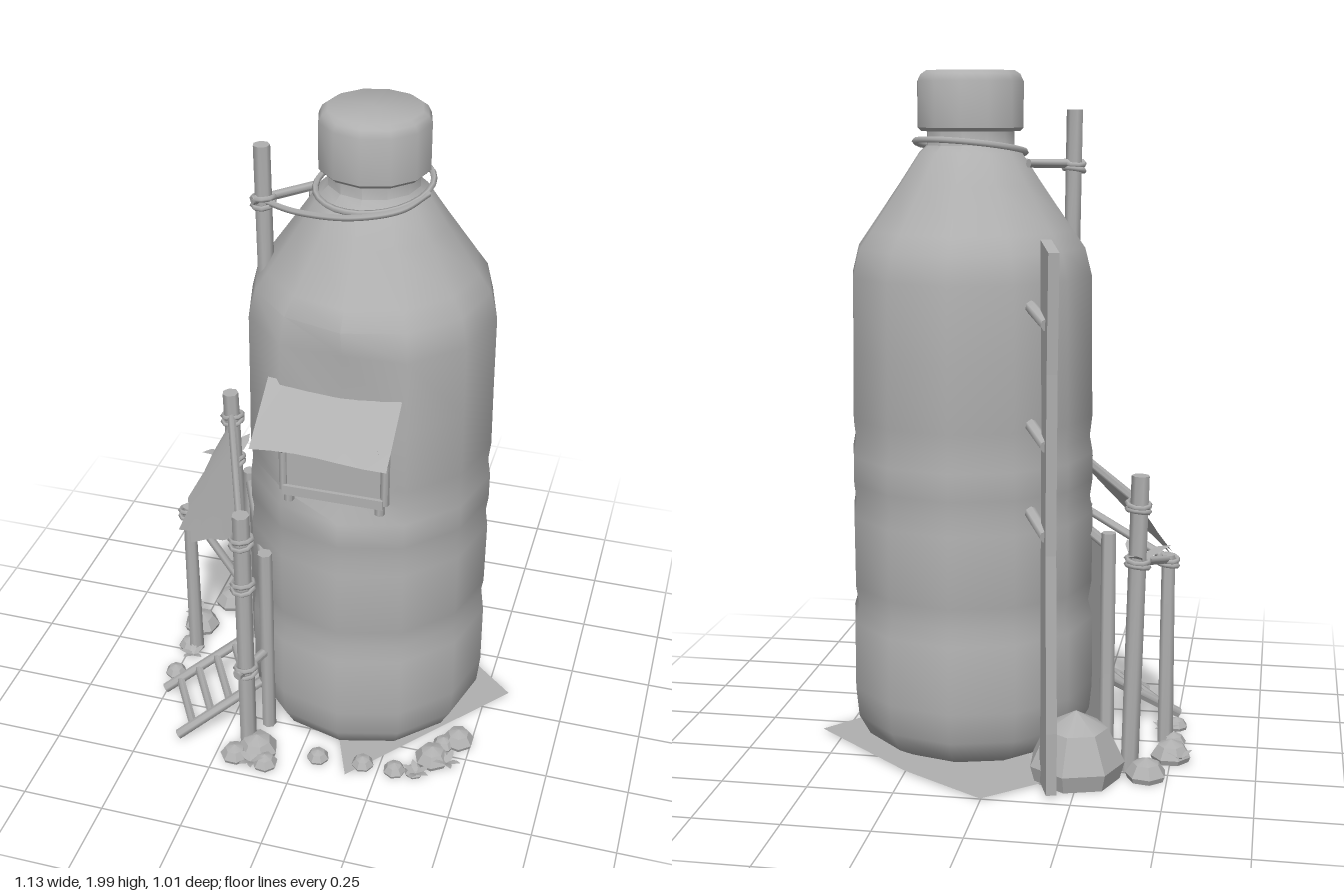
import * as THREE from 'three';
import { toCreasedNormals } from 'three/addons/utils/BufferGeometryUtils.js';

const V = (x, y, z) => new THREE.Vector3(x, y, z);

export function createModel() {
  const model = new THREE.Group();
  const clay = new THREE.MeshStandardMaterial({ color: 0xb0b0b0 });
  clay.name = 'plain grey';
  const thin = clay;
  thin.side = THREE.DoubleSide;

  const add = (name, geometry, x = 0, y = 0, z = 0) => {
    const mesh = new THREE.Mesh(geometry, clay);
    mesh.name = name;
    mesh.position.set(x, y, z);
    model.add(mesh);
    return mesh;
  };

  // Straight round stick between two points
  const stick = (name, a, b, r = 0.02, r2 = r) => {
    const dir = b.clone().sub(a);
    const g = toCreasedNormals(new THREE.CylinderGeometry(r2, r, dir.length(), 7), 1);
    const mesh = add(name, g);
    mesh.position.copy(a).add(b).multiplyScalar(0.5);
    mesh.quaternion.setFromUnitVectors(V(0, 1, 0), dir.normalize());
    return mesh;
  };

  // Thin sheet from a grid of points given by a rule
  const sheet = (name, nu, nv, rule) => {
    const pos = [], idx = [];
    for (let j = 0; j <= nv; j++) for (let i = 0; i <= nu; i++) pos.push(...rule(i / nu, j / nv).toArray());
    for (let j = 0; j < nv; j++) for (let i = 0; i < nu; i++) {
      const a = j * (nu + 1) + i, b = a + nu + 1;
      idx.push(a, a + 1, b, b, a + 1, b + 1);
    }
    const g = new THREE.BufferGeometry();
    g.setAttribute('position', new THREE.Float32BufferAttribute(pos, 3));
    g.setIndex(idx);
    g.computeVertexNormals();
    return add(name, g);
  };

  // Rope coils around a pole
  const binding = (x, y, z, r = 0.03) => {
    for (let i = 0; i < 2; i++) {
      const ring = add('ropeBinding', new THREE.TorusGeometry(r, 0.008, 5, 9), x, y + i * 0.018, z);
      ring.rotation.set(Math.PI / 2 + 0.15 - i * 0.3, 0.12, 0);
    }
  };

  // Bottle body, with its front dented behind the window
  const cx = 0.115, cz = -0.01;
  const lathe = (pts, crease) => {
    const g = new THREE.LatheGeometry(pts.map(p => new THREE.Vector2(...p)), 12, Math.PI);
    const p = g.attributes.position;
    for (let i = 0; i < p.count; i++) {
      const y = p.getY(i);
      if (y > 0.94 && y < 1.5 && p.getZ(i) > 0.315) p.setZ(i, 0.315);
    }
    return toCreasedNormals(g, crease);
  };
  add('bottle', lathe([
    [0, 0.02], [0.27, 0.02], [0.325, 0.05], [0.358, 0.11], [0.367, 0.2], [0.366, 0.4], [0.352, 0.45],
    [0.362, 0.51], [0.363, 0.72], [0.355, 0.77], [0.362, 0.82], [0.362, 0.9], [0.353, 0.95], [0.36, 1.01],
    [0.357, 1.2], [0.355, 1.42], [0.335, 1.5], [0.3, 1.55], [0.21, 1.68], [0.15, 1.77], [0.128, 1.79], [0.128, 1.84],
  ], 0.9), cx, 0, cz);
  add('cap', lathe([
    [0, 1.83], [0.145, 1.83], [0.155, 1.84], [0.155, 1.97], [0.145, 1.99], [0.13, 2], [0, 2],
  ], 0.75), cx, 0, cz);

  // Sheet lying under the bottle
  const ground = new THREE.Shape([[0, 0.51], [0.25, 0.355], [0.57, 0.08], [0.16, -0.42], [-0.16, 0.37]]
    .map(p => new THREE.Vector2(...p)));
  add('groundSheet', new THREE.ShapeGeometry(ground), 0, 0.016, 0).rotation.x = -Math.PI / 2;

  // Window with frame, struts and awning
  add('windowPanel', new THREE.BoxGeometry(0.27, 0.2, 0.008), 0.095, 1.08, 0.318);
  add('windowSill', new THREE.BoxGeometry(0.29, 0.03, 0.035), 0.095, 0.975, 0.315);
  for (const x of [-0.052, 0.242]) {
    stick('windowPost', V(x, 0.97, 0.315), V(x, 1.19, 0.315), 0.013);
    stick('windowFoot', V(x * 0.9 + 0.01, 0.935, 0.315), V(x * 0.9 + 0.01, 0.985, 0.315), 0.015);
    stick('awningStrut', V(x, 1.07, 0.285), V(x, 1.215, 0.435), 0.011);
  }
  sheet('awning', 6, 1, (u, v) => V(-0.1 + 0.38 * u + 0.004 * v, 1.31 - 0.115 * v - 0.012 * Math.sin(u * Math.PI) * (1 - v)
    + 0.008 * Math.sin(u * 5) * v, 0.285 + 0.19 * v));

  // Rope around the neck, tied to the upper pole
  const neckPath = [];
  for (let i = 0; i < 12; i++) {
    const a = i * Math.PI / 6;
    neckPath.push(V(cx + 0.16 * Math.cos(a), 1.785 + 0.012 * Math.cos(a) - 0.02 * Math.sin(a), cz + 0.16 * Math.sin(a)));
  }
  const rope = (pts, r, closed = false) =>
    add('rope', new THREE.TubeGeometry(new THREE.CatmullRomCurve3(pts, closed), 28, r, 5, closed));
  rope(neckPath, 0.009, true);
  rope([V(-0.175, 1.73, 0.07), V(-0.06, 1.735, 0.125), V(0.1, 1.755, 0.16), V(0.22, 1.775, 0.125), V(0.275, 1.79, 0.03)], 0.009);
  stick('upperPole', V(-0.172, 1.42, 0.065), V(-0.178, 1.89, 0.065), 0.024);
  stick('upperPeg', V(-0.2, 1.735, 0.09), V(-0.06, 1.74, -0.045), 0.013);
  stick('upperBrace', V(-0.165, 1.52, 0.06), V(-0.04, 1.69, 0.03), 0.01);
  binding(-0.176, 1.72, 0.065);

  // Tall plank at the back with climbing pegs
  const plankShape = new THREE.Shape([[-0.06, 0.02], [0.05, 0.02], [0.035, 0.2], [0.037, 0.7], [0.035, 1.1], [0.062, 1.55],
    [-0.06, 1.525], [-0.042, 1.2], [-0.035, 0.7], [-0.06, 0.2]].map(p => new THREE.Vector2(...p)));
  const plank = add('plank', new THREE.ExtrudeGeometry(plankShape, { depth: 0.03, bevelEnabled: false }), -0.16, 0, -0.415);
  plank.rotation.y = -1.25;
  for (const y of [0.75, 1, 1.33])
    stick('climbingPeg', V(-0.17, y, -0.43), V(-0.1, y + 0.03, -0.27), 0.018);

  // Porch posts
  const postA = [-0.165, 0.37], postB = [-0.41, -0.25], postC = [-0.475, -0.01];
  const doorL = [-0.13, 0.27], doorR = [-0.31, -0.13];
  const at = (p, y) => V(p[0], y, p[1]);
  stick('frontPost', at(postA, 0.02), at(postA, 0.89), 0.026);
  stick('rearPost', V(-0.39, 0.02, -0.25), at(postB, 0.89), 0.026);
  stick('outerPost', at(postC, 0.02), at(postC, 0.6), 0.024, 0.02);
  for (const d of [doorL, doorR]) stick('doorPost', at(d, 0.02), at(d, 0.69), 0.022);
  stick('porchBeam', at(postA, 0.81), at(postB, 0.81), 0.013);
  stick('sideRail', at(postA, 0.645), at(postC, 0.585), 0.013);
  stick('sideRail', V(-0.4, 0.64, -0.25), at(postC, 0.585), 0.013);
  stick('doorLintel', at(doorL, 0.65), at(doorR, 0.65), 0.016);
  stick('lowerTie', V(-0.18, 0.32, 0.41), V(-0.11, 0.32, 0.21), 0.015);
  for (const y of [0.31, 0.63, 0.79]) binding(postA[0], y, postA[1], 0.032);
  for (const y of [0.63, 0.79]) binding(-0.405, y, postB[1], 0.032);
  binding(postC[0], 0.57, postC[1], 0.028);

  // Door panel between its posts
  const door = add('doorPanel', new THREE.BoxGeometry(0.44, 0.6, 0.012), -0.22, 0.36, 0.07);
  door.rotation.y = -1.148;

  // Ragged cloth hung from the beam, drawn out towards the outer post
  sheet('clothAwning', 10, 3, (u, v) => {
    const bulge = Math.sin(u * Math.PI) * (0.85 + (Math.round(u * 10) % 2) * 0.15) * v;
    return V(-0.17 - 0.23 * u - 0.19 * bulge, 0.81 - 0.22 * bulge - 0.015 * v, 0.34 - 0.55 * u + 0.02 * bulge);
  });

  // Ladder up to the door
  const railA = [V(-0.5, 0.025, 0.215), V(-0.26, 0.19, 0.08)];
  const railB = [V(-0.385, 0.025, 0.405), V(-0.15, 0.19, 0.27)];
  stick('ladderRail', ...railA, 0.016);
  stick('ladderRail', ...railB, 0.016);
  for (const t of [0.18, 0.4, 0.62, 0.84])
    stick('ladderRung', railA[0].clone().lerp(railA[1], t), railB[0].clone().lerp(railB[1], t), 0.013);

  // Rocks: faceted domes
  const rock = (x, z, r, h, turn) => {
    const profile = [[r * 0.9, 0], [r, h * 0.25], [r * 0.65, h * 0.75], [0, h]].map(p => new THREE.Vector2(...p));
    const g = toCreasedNormals(new THREE.LatheGeometry(profile, 7), 0.5);
    add('rock', g, x, 0.01, z).rotation.y = turn;
  };
  rock(-0.24, -0.3, 0.14, 0.2, 0.3);
  [[-0.5, -0.13, 0.06], [-0.5, 0.12, 0.035], [-0.44, -0.28, 0.06], [-0.5, -0.02, 0.04], [-0.13, 0.39, 0.065],
    [-0.19, 0.43, 0.045], [-0.09, 0.44, 0.04], [0.46, 0.18, 0.05], [0.4, 0.28, 0.055], [0.36, 0.35, 0.03],
    [0.3, 0.36, 0.035], [0.42, 0.21, 0.035], [0.2, 0.36, 0.035], [0.06, 0.37, 0.035]]
    .forEach(([x, z, r], i) => rock(x, z, r, r * 1.05, i * 1.7));

  // Grass tufts and leaves: folded pointed blades
  const tuft = (x, y, z, size, count) => {
    for (let i = 0; i < count; i++) {
      const a = i * 2.4 + x * 9, c = Math.cos(a), s = Math.sin(a);
      sheet('leaf', 2, 3, (u, v) => {
        const w = (u - 0.5) * size * 0.45 * Math.sin(Math.PI * (0.12 + 0.88 * v));
        return V(x + c * v * size - s * w, y + size * (0.8 * v - 0.4 * v * v), z + s * v * size + c * w);
      });
    }
  };
  for (const [x, z] of [[-0.53, -0.17], [0.45, 0.3], [0.37, 0.37], [-0.13, 0.46], [-0.47, 0.04]]) tuft(x, 0.03, z, 0.045, 5);
  tuft(-0.41, 0.64, -0.25, 0.1, 3);

  return model;
}
